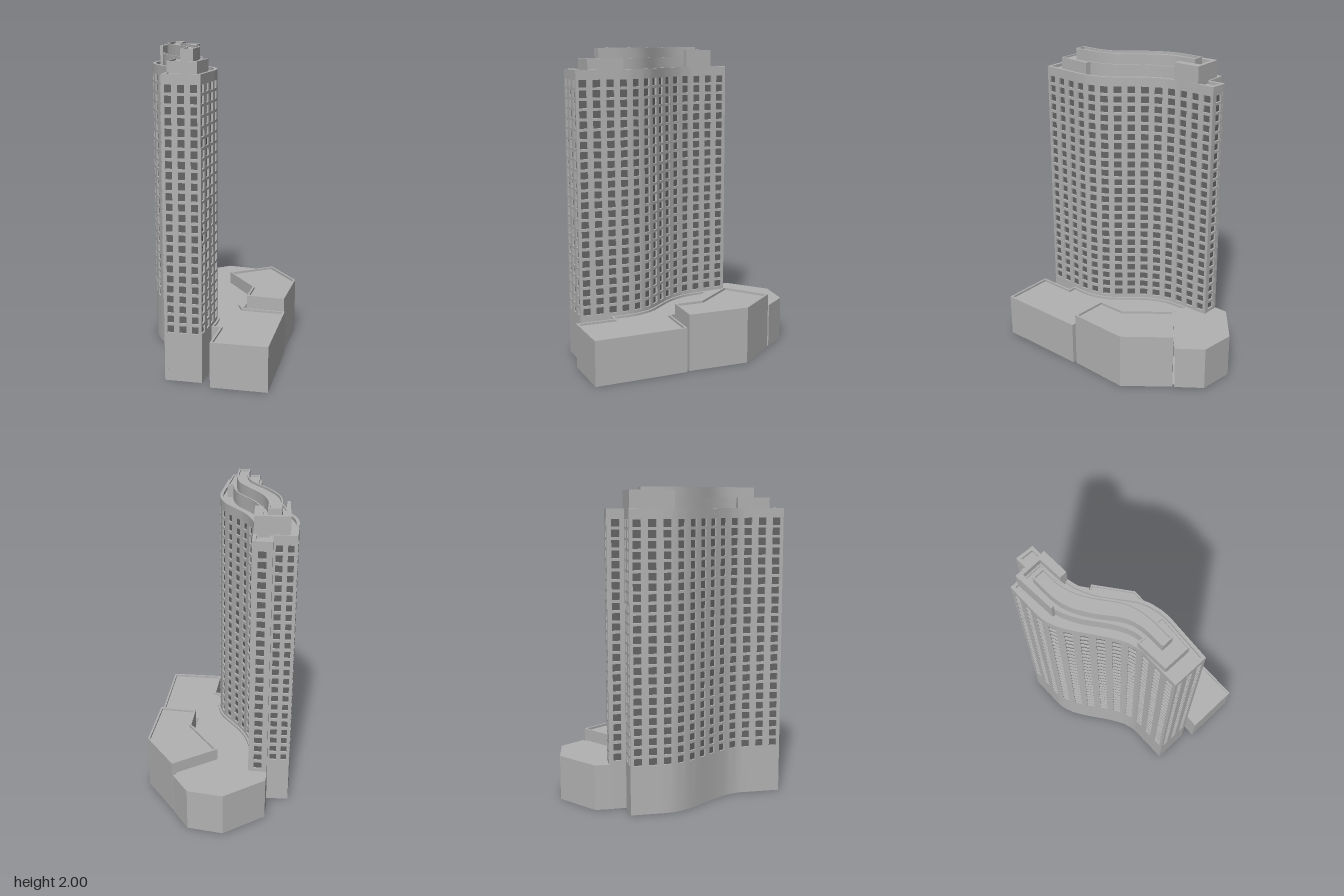
import * as THREE from 'three';
import { mergeGeometries, toCreasedNormals } from 'three/addons/utils/BufferGeometryUtils.js';

const wall = new THREE.MeshStandardMaterial({ color: 0xb2b2b2, side: THREE.DoubleSide });
wall.name = 'concrete grey';
const glass = new THREE.MeshStandardMaterial({ color: 0x646464, side: THREE.DoubleSide });
glass.name = 'dark window grey';

const curve = (pts) => new THREE.CatmullRomCurve3(pts.map(([x, z]) => new THREE.Vector3(x, 0, z)));
const line = (a, b) => new THREE.LineCurve3(new THREE.Vector3(a[0], 0, a[1]), new THREE.Vector3(b[0], 0, b[1]));
const sample = (c, n) => c.getSpacedPoints(n).map((p) => [p.x, p.z]);
const smooth = (pts, n = 24) => sample(curve(pts), n);

function mesh(geometry, material, name) {
  const m = new THREE.Mesh(geometry, material);
  m.name = name;
  return m;
}

// Plan outline moved inwards by d, with mitred corners
function inset(pts, d) {
  const n = pts.length;
  let area = 0;
  pts.forEach(([x, z], i) => { const q = pts[(i + 1) % n]; area += x * q[1] - q[0] * z; });
  const s = Math.sign(area);
  const normal = (a, b) => {
    const l = Math.hypot(b[0] - a[0], b[1] - a[1]);
    return [-s * (b[1] - a[1]) / l, s * (b[0] - a[0]) / l];
  };
  return pts.map((p, i) => {
    const a = normal(pts[(i + n - 1) % n], p), b = normal(p, pts[(i + 1) % n]);
    const k = d / Math.max(0.3, 1 + a[0] * b[0] + a[1] * b[1]);
    return [p[0] + (a[0] + b[0]) * k, p[1] + (a[1] + b[1]) * k];
  });
}

// Vertical prism over a plan outline
function prism(pts, y0, y1, hole) {
  const v = (list) => list.map(([x, z]) => new THREE.Vector2(x, -z));
  const shape = new THREE.Shape(v(pts));
  if (hole) shape.holes.push(new THREE.Path(v(hole)));
  const g = new THREE.ExtrudeGeometry(shape, { depth: y1 - y0, bevelEnabled: false });
  return toCreasedNormals(g.rotateX(-Math.PI / 2).translate(0, y0, 0), 0.5);
}

// Hollow volume: walls rising to a parapet round a sunken roof, open below
function volume(name, pts, y0, y1, lip, drop) {
  const g = new THREE.Group();
  g.name = name;
  const inner = inset(pts, lip);
  g.add(mesh(prism(pts, y0, y1, inner), wall, name + 'Walls'));
  g.add(mesh(prism(inner, y1 - drop - 0.01, y1 - drop), wall, name + 'Roof'));
  return g;
}

const TOP = 1.87, THICK = 0.02, ROWS = 24, FIRST = 0.335, PITCH = 0.0631, WIN_H = 0.046;

// Facade that follows a plan curve, with a grid of recessed windows
function facade(name, path, columns, winW) {
  const length = path.getLength(), cell = length / columns;
  const solid = [], panes = [];
  // Box given as along-wall, height and depth ranges, then bent onto the curve
  const box = (u0, u1, y0, y1, d0, d1, seg = 1) => {
    const g = new THREE.BoxGeometry(u1 - u0, y1 - y0, d1 - d0, seg, 1, 1);
    g.translate((u0 + u1) / 2, (y0 + y1) / 2, (d0 + d1) / 2);
    const p = g.attributes.position;
    for (let i = 0; i < p.count; i++) {
      const t = Math.min(1, Math.max(0, p.getX(i) / length)), d = p.getZ(i);
      const c = path.getPointAt(t), q = path.getTangentAt(t);
      p.setXYZ(i, c.x - q.z * d, p.getY(i), c.z + q.x * d);
    }
    return g;
  };
  for (let i = 0; i < columns; i++) {
    const a = i * cell, b = a + (cell - winW) / 2, c = b + winW;
    solid.push(box(a, b, 0, TOP, -THICK, 0), box(c, a + cell, 0, TOP, -THICK, 0));
    let y = 0;
    for (let r = 0; r < ROWS; r++) {
      const low = FIRST + r * PITCH - WIN_H / 2;
      solid.push(box(b, c, y, low, -THICK, 0));
      y = low + WIN_H;
    }
    solid.push(box(b, c, y, TOP, -THICK, 0));
    panes.push(box(b, c, FIRST - 0.03, y + 0.005, -THICK + 0.001, -0.012));
  }
  const group = new THREE.Group();
  group.name = name;
  group.add(mesh(toCreasedNormals(mergeGeometries(solid), 0.4), wall, name + 'Wall'));
  group.add(mesh(toCreasedNormals(mergeGeometries(panes), 0.4), glass, name + 'Windows'));
  return group;
}

export function createModel() {
  const model = new THREE.Group();
  model.name = 'highRise';

  // Tower plan: two wavy long sides and short ends with a notch at the back
  const west = curve([[-0.468, -0.372], [-0.473, -0.24], [-0.476, -0.12], [-0.456, -0.04], [-0.416, 0.04],
    [-0.284, 0.24], [-0.236, 0.332], [-0.218, 0.41], [-0.22, 0.48], [-0.228, 0.682]]);
  const east = curve([[0.004, 0.69], [0.025, 0.49], [0.036, 0.37], [0.028, 0.29], [-0.002, 0.2],
    [-0.136, 0.01], [-0.184, -0.088], [-0.207, -0.18], [-0.208, -0.28], [-0.205, -0.472]]);
  const runs = [
    ['rightFacade', west, 12, 0.05],
    ['frontFacade', line([-0.228, 0.682], [0.004, 0.69]), 3, 0.042],
    ['leftFacade', east, 14, 0.05],
    ['backFacade', line([-0.205, -0.472], [-0.325, -0.48]), 1, 0.05],
    ['notchFacade', line([-0.325, -0.48], [-0.325, -0.372]), 1, 0.05],
    ['backNotchFacade', line([-0.325, -0.372], [-0.468, -0.372]), 2, 0.042],
  ];
  const tower = new THREE.Group();
  tower.name = 'tower';
  const plan = [];
  for (const [name, path, columns, winW] of runs) {
    tower.add(facade(name, path, columns, winW));
    plan.push(...sample(path, path.isLineCurve3 ? 1 : 48).slice(0, -1));
  }
  tower.add(mesh(prism(inset(plan, 0.01), 1.84, 1.85), wall, 'towerRoof'));
  model.add(tower);

  // Stepped wavy crown
  const lowerTier = [
    ...smooth([[-0.39, -0.335], [-0.402, -0.1], [-0.356, 0.03], [-0.224, 0.23], [-0.185, 0.32], [-0.176, 0.38]]),
    [-0.215, 0.38], [-0.215, 0.59], [-0.035, 0.597], [-0.01, 0.37], [-0.05, 0.365],
    ...smooth([[-0.052, 0.34], [-0.058, 0.29], [-0.088, 0.2], [-0.196, 0.04], [-0.238, -0.06], [-0.26, -0.18], [-0.264, -0.335]]),
  ];
  const upperTier = [
    ...smooth([[-0.37, -0.28], [-0.372, -0.12], [-0.352, -0.02], [-0.288, 0.1], [-0.176, 0.26], [-0.152, 0.35], [-0.152, 0.505]]),
    ...smooth([[-0.077, 0.507], [-0.076, 0.32], [-0.104, 0.2], [-0.216, 0.03], [-0.264, -0.06], [-0.288, -0.16], [-0.288, -0.28]]),
  ];
  model.add(volume('lowerCrown', lowerTier, 1.845, 1.935, 0.01, 0.01));
  model.add(volume('upperCrown', upperTier, 1.92, 2, 0.01, 0.015));

  // Raised enclosure wrapping the back of the crown
  const wrap = [[-0.425, -0.36], [-0.21, -0.358], [-0.21, -0.178], [-0.258, -0.178],
    [-0.262, -0.335], [-0.39, -0.335], [-0.4, -0.08], [-0.418, -0.08]];
  model.add(mesh(prism(wrap, 1.848, 1.98), wall, 'roofEnclosure'));

  // Low podium following the tower's wavy side
  const podium = [
    [-0.325, -0.48], [-0.32, -0.57], [-0.06, -0.755], [0.168, -0.717], [0.275, -0.557], [-0.027, -0.36],
    [0.17, 0.13], [0.448, 0.15], [0.415, 0.752], [0.062, 0.742], [0.08, 0.492], [0.025, 0.488],
    ...sample(east, 48).filter(([, z]) => z < 0.475),
  ];
  model.add(volume('podium', podium, 0, 0.29, 0.013, 0.015));

  // Taller side block, set apart from the podium by an open wedge
  const block = [[0.28, -0.545], [0.475, -0.27], [0.44, 0.13], [0.192, 0.11], [0.203, -0.08], [0.003, -0.362]];
  model.add(volume('sideBlock', block, 0, 0.37, 0.013, 0.015));

  return model;
}
